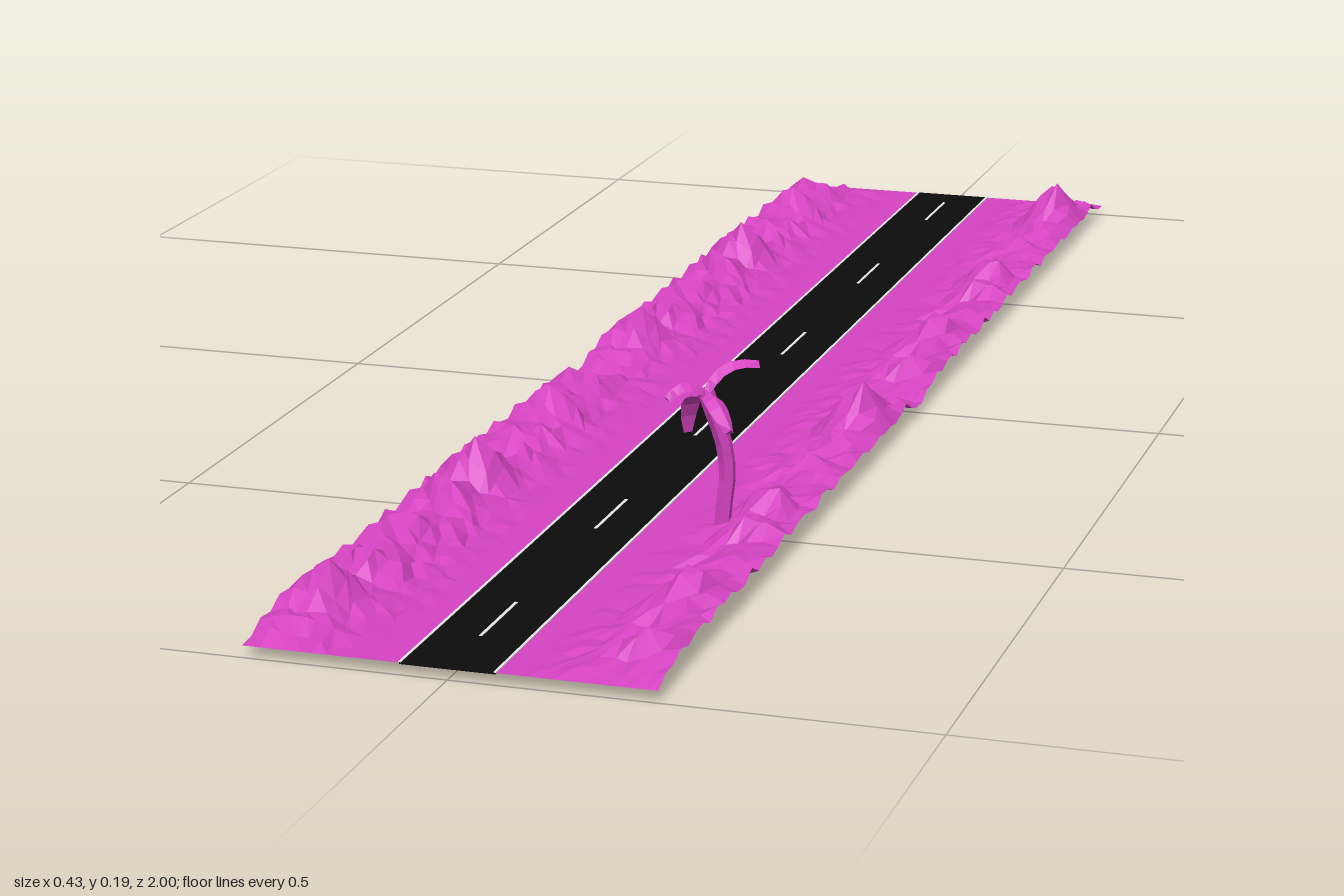
import * as THREE from 'three';

const BASE = 0.012;

// Repeatable pseudo-random value in 0..1 for a grid point
function hash(i, j, k) {
  const s = Math.sin(i * 127.1 + j * 311.7 + k * 74.7) * 43758.5453;
  return s - Math.floor(s);
}

// Peaks per side: [position along tile, distance from the road centre, height, radius]
const PEAKS = {
  left: [[0.08, 0.19, 0.03, 0.05], [0.21, 0.175, 0.052, 0.06], [0.3, 0.18, 0.032, 0.05],
    [0.36, 0.165, 0.028, 0.045], [0.45, 0.175, 0.062, 0.065], [0.55, 0.18, 0.044, 0.06],
    [0.645, 0.185, 0.034, 0.05], [0.77, 0.175, 0.036, 0.06], [0.875, 0.18, 0.058, 0.07]],
  right: [[0.13, 0.178, 0.062, 0.07], [0.22, 0.185, 0.03, 0.05], [0.33, 0.18, 0.034, 0.05],
    [0.47, 0.17, 0.044, 0.06], [0.56, 0.182, 0.04, 0.05], [0.65, 0.185, 0.028, 0.045],
    [0.77, 0.175, 0.05, 0.06], [0.83, 0.17, 0.026, 0.045], [0.92, 0.182, 0.032, 0.05]],
};

function terrainHeight(x, t, side) {
  let h = 0.014 * THREE.MathUtils.smoothstep(x, 0.11, 0.18);
  for (const [pt, px, height, radius] of PEAKS[side]) {
    const d = Math.hypot((t - pt) / radius, (x - px) / 0.05);
    h = Math.max(h, height * (1 - d));
  }
  const fade = Math.min(1, t / 0.07, (1 - t) / 0.07);
  return h * Math.max(0, fade);
}

// One rugged verge; the relief repeats once along its length
function makeVerge(side, material) {
  const sign = side === 'left' ? -1 : 1;
  const cols = 11, rows = 42, seed = sign + 3;
  const positions = [], index = [];
  for (let r = 0; r <= rows * 2; r++) {
    const row = r % rows;
    for (let c = 0; c <= cols; c++) {
      let x = 0.05 + (0.166 * c) / cols;
      let t = row / rows;
      const inner = c > 0 && c < cols, middle = row > 0;
      if (inner) x += (hash(row, c, seed) - 0.5) * 0.009;
      if (inner && middle) t += (hash(row, c, seed + 5) - 0.5) * 0.014;
      let y = BASE + terrainHeight(x, t, side);
      if (c > 2 && middle) {
        y += (hash(row, c, seed + 9) - 0.35) * 0.013 * THREE.MathUtils.smoothstep(x, 0.06, 0.16);
      }
      const z = r === rows * 2 ? 1 : -1 + Math.floor(r / rows) + t;
      positions.push(sign * x, y, z);
      if (r && c) {
        const a = (r - 1) * (cols + 1) + c - 1, b = a + 1, d = a + cols + 1, e = d + 1;
        if (sign > 0) index.push(a, d, b, b, d, e);
        else index.push(a, b, d, b, e, d);
      }
    }
  }
  const geometry = new THREE.BufferGeometry();
  geometry.setAttribute('position', new THREE.Float32BufferAttribute(positions, 3));
  geometry.setIndex(index);
  const flat = geometry.toNonIndexed();
  flat.computeVertexNormals();
  const mesh = new THREE.Mesh(flat, material);
  mesh.name = side === 'left' ? 'mountainVergeWest' : 'mountainVergeEast';
  return mesh;
}

// Curved blade with a raised spine and a thin triangular section
function makeFrond(points, material) {
  const curve = new THREE.CatmullRomCurve3(points.map((p) => new THREE.Vector3(...p)));
  const steps = 5, positions = [], index = [];
  const up = new THREE.Vector3(0, 1, 0);
  const chord = points[points.length - 1].map((v, i) => v - points[0][i]);
  const across = new THREE.Vector3(chord[0], 0, chord[2]).cross(up).normalize();
  const widths = [0.006, 0.009, 0.011, 0.011, 0.009, 0.005];
  for (let i = 0; i <= steps; i++) {
    const p = curve.getPoint(i / steps);
    const normal = across.clone().cross(curve.getTangent(i / steps)).normalize();
    for (const [w, n] of [[-1, -0.003], [0, 0.004], [1, -0.003]]) {
      const v = p.clone().addScaledVector(across, w * widths[i]).addScaledVector(normal, n);
      positions.push(v.x, v.y, v.z);
    }
    if (i) {
      for (let k = 0; k < 3; k++) {
        const a = (i - 1) * 3 + k, b = (i - 1) * 3 + ((k + 1) % 3);
        index.push(a, b, a + 3, b, b + 3, a + 3);
      }
    }
  }
  const last = steps * 3;
  index.push(0, 2, 1, last, last + 1, last + 2);
  const geometry = new THREE.BufferGeometry();
  geometry.setAttribute('position', new THREE.Float32BufferAttribute(positions, 3));
  geometry.setIndex(index);
  const flat = geometry.toNonIndexed();
  flat.computeVertexNormals();
  const mesh = new THREE.Mesh(flat, material);
  mesh.name = 'palmFrond';
  return mesh;
}

function makePalm(material) {
  const palm = new THREE.Group();
  palm.name = 'palmTree';
  const path = new THREE.CatmullRomCurve3([
    [0.124, 0, 0.5], [0.126, 0.03, 0.499], [0.13, 0.07, 0.498],
    [0.127, 0.105, 0.502], [0.118, 0.14, 0.51], [0.111, 0.163, 0.514],
  ].map((p) => new THREE.Vector3(...p)));
  const trunkGeometry = new THREE.TubeGeometry(path, 8, 0.0092, 6).toNonIndexed();
  trunkGeometry.computeVertexNormals();
  const trunk = new THREE.Mesh(trunkGeometry, material);
  trunk.name = 'palmTrunk';
  const foot = new THREE.Mesh(new THREE.CircleGeometry(0.0092, 6), material);
  foot.name = 'trunkFoot';
  foot.rotation.x = Math.PI / 2;
  foot.position.set(0.124, 0.0005, 0.5);
  palm.add(trunk, foot);

  const crown = [0.11, 0.161, 0.513];
  const fronds = [
    [crown, [0.119, 0.18, 0.502], [0.135, 0.189, 0.488], [0.157, 0.186, 0.473]],
    [crown, [0.094, 0.155, 0.498], [0.082, 0.137, 0.484], [0.077, 0.105, 0.474]],
    [crown, [0.098, 0.171, 0.525], [0.087, 0.171, 0.535], [0.077, 0.16, 0.543]],
    [crown, [0.122, 0.16, 0.526], [0.136, 0.15, 0.54], [0.15, 0.133, 0.553]],
  ];
  for (const points of fronds) palm.add(makeFrond(points, material));
  return palm;
}

export function createModel() {
  const model = new THREE.Group();
  model.name = 'desertRoad';
  const pink = new THREE.MeshStandardMaterial({ color: 0xd644c2, side: THREE.DoubleSide, flatShading: true });
  pink.name = 'pink';
  const black = new THREE.MeshStandardMaterial({ color: 0x0c0c0c });
  black.name = 'asphaltBlack';
  const white = new THREE.MeshStandardMaterial({ color: 0xffffff });
  white.name = 'lineWhite';

  const slab = (name, w, h, d, x, y, z, material) => {
    const mesh = new THREE.Mesh(new THREE.BoxGeometry(w, h, d), material);
    mesh.name = name;
    mesh.position.set(x, y, z);
    model.add(mesh);
  };

  // Road with edge lines and a dashed centre line
  slab('road', 0.1, 0.002, 2, 0, BASE - 0.0005, 0, black);
  for (const s of [-1, 1]) slab('edgeLine', 0.003, 0.001, 2, s * 0.0495, BASE + 0.0006, 0, white);
  for (let i = 0; i < 6; i++) {
    slab('centreDash', 0.0035, 0.001, 0.104, 0, BASE + 0.0006, -0.9 + i * 0.351, white);
  }

  // Mountain verges and the palm
  model.add(makeVerge('left', pink), makeVerge('right', pink), makePalm(pink));
  return model;
}
